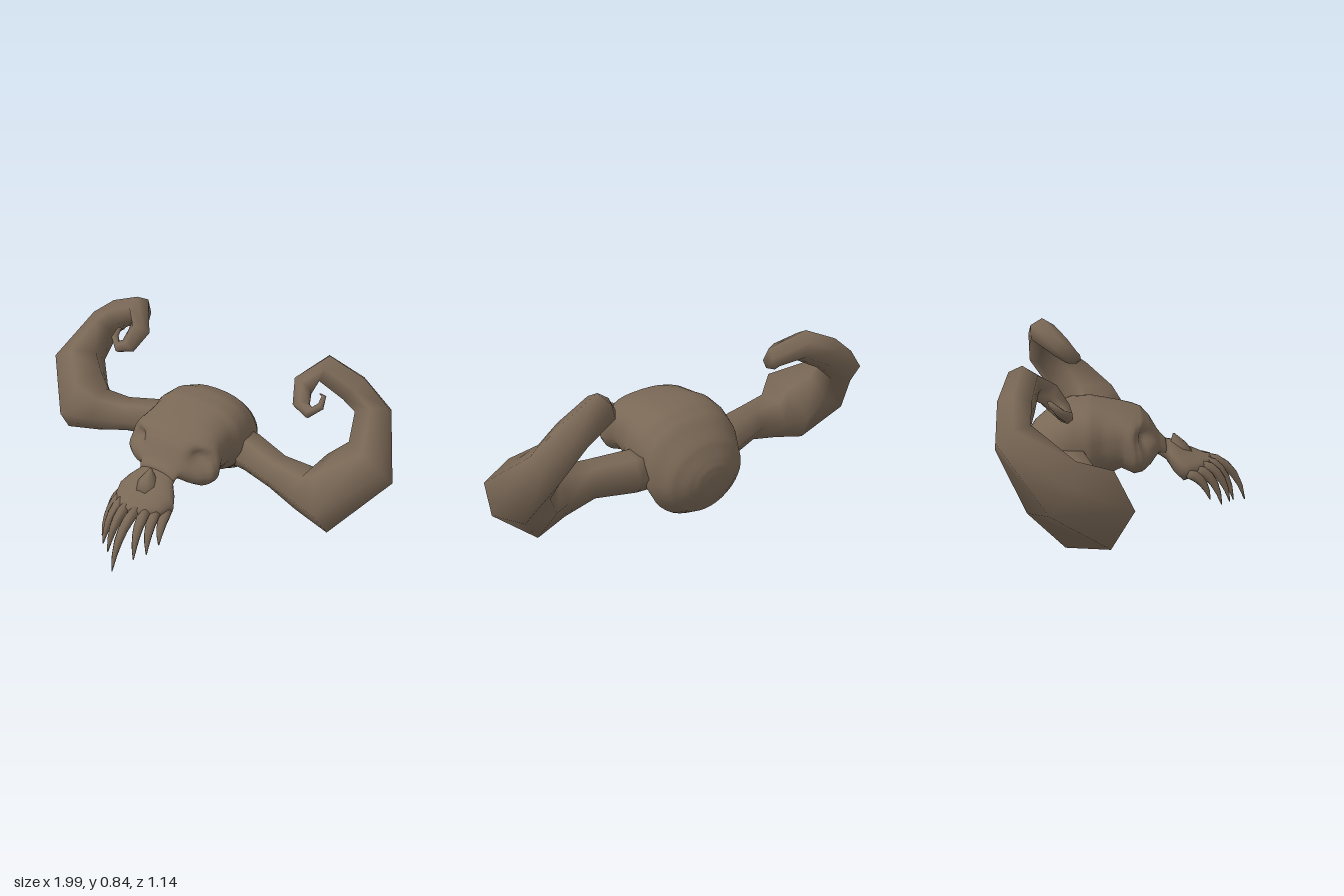
import * as THREE from 'three';

const bone = new THREE.MeshStandardMaterial({ color: 0x7a6856 });
bone.name = 'bone';
const V = (x, y, z) => new THREE.Vector3(x, y, z);

// Skin a list of rings (equal point counts, counterclockwise about the direction of travel), with closed ends
function loft(name, rings) {
  const n = rings[0].length, pos = [], idx = [];
  rings.forEach(r => r.forEach(p => pos.push(p.x, p.y, p.z)));
  for (let i = 0; i < rings.length - 1; i++) {
    for (let j = 0; j < n; j++) {
      const a = i * n + j, b = i * n + (j + 1) % n;
      idx.push(a, b, a + n, b, b + n, a + n);
    }
  }
  [0, rings.length - 1].forEach(i => {
    const c = rings[i].reduce((s, p) => s.add(p), V(0, 0, 0)).divideScalar(n);
    const k = pos.length / 3;
    pos.push(c.x, c.y, c.z);
    for (let j = 0; j < n; j++) {
      const a = i * n + j, b = i * n + (j + 1) % n;
      if (i === 0) idx.push(k, b, a); else idx.push(k, a, b);
    }
  });
  const g = new THREE.BufferGeometry();
  g.setAttribute('position', new THREE.Float32BufferAttribute(pos, 3));
  g.setIndex(idx);
  g.computeVertexNormals();
  const m = new THREE.Mesh(g, bone);
  m.name = name;
  return m;
}

// Tapering limb along points, each ring facing mostly along the stretch that leads to it
function limb(name, pts, radii, sides) {
  let u = null;
  const rings = pts.map((p, i) => {
    const before = p.clone().sub(pts[Math.max(i - 1, 0)]).normalize();
    const after = pts[Math.min(i + 1, pts.length - 1)].clone().sub(p).normalize();
    const t = before.multiplyScalar(4).add(after).normalize();
    if (!u) u = Math.abs(t.y) > 0.9 ? V(1, 0, 0) : V(0, 1, 0);
    u = u.clone().addScaledVector(t, -u.dot(t)).normalize();
    const v = t.clone().cross(u);
    return Array.from({ length: sides }, (_, j) => {
      const a = (j + 0.5) / sides * Math.PI * 2;
      return p.clone().addScaledVector(u, Math.cos(a) * radii[i]).addScaledVector(v, Math.sin(a) * radii[i]);
    });
  });
  return loft(name, rings);
}

// Bone body from upright sections: [z, top, bottom, half width, upper exponent, lower exponent]
function body(name, sections, steps, sides, shape) {
  const rings = [];
  for (let i = 0; i < sections.length - 1; i++) {
    for (let s = 0; s < steps; s++) {
      rings.push(sections[i].map((q, k) => q + (sections[i + 1][k] - q) * s / steps));
    }
  }
  rings.push(sections[sections.length - 1]);
  const pow = (c, e) => Math.sign(c) * Math.abs(c) ** e;
  return loft(name, rings.map(([z, top, bottom, w, upper, lower]) => Array.from({ length: sides }, (_, j) => {
    const a = j / sides * Math.PI * 2, e = j <= sides / 2 ? upper : lower;
    const p = V(w * pow(Math.cos(a), e), (top + bottom) / 2 + (top - bottom) / 2 * pow(Math.sin(a), e), z);
    if (shape) shape(p);
    return p;
  })));
}

// Push in an eye socket on each side and arch the palate between the cheekbones
function carveFace(p) {
  if (p.y < 0.3) {
    const along = Math.max(0, 1 - Math.abs(p.z - 0.01) / 0.11);
    p.y += 0.06 * along * Math.exp(-((p.x / 0.12) ** 4));
  }
  const s = Math.sign(p.x);
  const d = ((Math.abs(p.x) - 0.195) / 0.07) ** 2 + ((p.y - 0.4) / 0.045) ** 2 + ((p.z - 0.05) / 0.05) ** 2;
  const k = 0.075 * Math.exp(-d);
  p.x -= s * k * 0.8;
  p.z -= k * 0.5;
}

export function createModel() {
  const model = new THREE.Group();
  model.name = 'hornedSkull';

  // Cranium and face
  model.add(body('cranium', [
    [-0.547, 0.3, 0.23, 0.04, 1, 1], [-0.54, 0.34, 0.19, 0.09, 1, 1], [-0.522, 0.375, 0.145, 0.14, 1, 1],
    [-0.48, 0.44, 0.08, 0.205, 0.95, 1.05],
    [-0.39, 0.515, 0.015, 0.255, 0.82, 1.1], [-0.31, 0.545, 0.07, 0.26, 0.76, 1.1], [-0.21, 0.55, 0.125, 0.26, 0.75, 1.05],
    [-0.15, 0.54, 0.17, 0.24, 0.75, 1], [-0.06, 0.52, 0.225, 0.238, 0.75, 0.8], [0.0, 0.503, 0.205, 0.262, 0.8, 0.75],
    [0.04, 0.49, 0.215, 0.255, 0.85, 0.75], [0.08, 0.45, 0.245, 0.21, 0.9, 0.75], [0.125, 0.375, 0.29, 0.115, 0.9, 0.9],
    [0.16, 0.34, 0.26, 0.095, 1, 1],
  ], 4, 36, carveFace));

  // Snout and upper jaw
  model.add(body('snout', [
    [0.1, 0.37, 0.29, 0.1, 1, 1], [0.16, 0.335, 0.25, 0.1, 0.9, 0.9], [0.2, 0.33, 0.185, 0.135, 1, 0.9],
    [0.245, 0.305, 0.145, 0.16, 1, 0.9], [0.31, 0.275, 0.17, 0.135, 0.9, 0.9], [0.36, 0.26, 0.19, 0.085, 0.9, 0.9],
    [0.385, 0.25, 0.21, 0.045, 1, 1],
  ], 2, 20));

  // Raised peak over the nose
  model.add(limb('nasalPeak', [V(0, 0.25, 0.235), V(0, 0.31, 0.22), V(0, 0.37, 0.2)], [0.075, 0.045, 0.004], 8));

  // Fangs: root xyz, tip xyz
  const fangs = [
    [0.025, 0.235, 0.36, 0.03, 0.005, 0.57], [-0.03, 0.235, 0.355, -0.048, 0.035, 0.5],
    [0.07, 0.23, 0.345, 0.09, 0.04, 0.48], [-0.075, 0.23, 0.335, -0.095, 0.045, 0.475],
    [0.105, 0.22, 0.31, 0.13, 0.055, 0.43], [-0.11, 0.22, 0.3, -0.135, 0.045, 0.43],
    [0.135, 0.21, 0.26, 0.16, 0.085, 0.37], [-0.135, 0.21, 0.26, -0.155, 0.08, 0.37],
  ];
  fangs.forEach(([rx, ry, rz, tx, ty, tz]) => {
    const curve = new THREE.QuadraticBezierCurve3(
      V(rx, ry, rz), V((rx + tx) / 2, ry - 0.02, rz + (tz - rz) * 0.75), V(tx, ty, tz));
    model.add(limb('fang', curve.getPoints(5), [0.025, 0.027, 0.024, 0.02, 0.013, 0.003], 7));
  });

  // Horns: x, y, z, radius, curling back and inward
  const horn = [
    [0.2, 0.285, -0.295, 0.1], [0.28, 0.285, -0.285, 0.1], [0.46, 0.277, -0.225, 0.09], [0.62, 0.258, -0.205, 0.115],
    [0.74, 0.283, -0.2, 0.187], [0.878, 0.435, -0.345, 0.14], [0.8, 0.615, -0.495, 0.09],
    [0.69, 0.705, -0.49, 0.08], [0.54, 0.775, -0.47, 0.074], [0.483, 0.705, -0.375, 0.057],
    [0.51, 0.64, -0.315, 0.042], [0.565, 0.625, -0.295, 0.03], [0.605, 0.66, -0.325, 0.02],
    [0.6, 0.695, -0.36, 0.012], [0.575, 0.695, -0.37, 0.003],
  ];
  [['leftHorn', 1], ['rightHorn', -1]].forEach(([name, s]) => {
    model.add(limb(name, horn.map(([x, y, z]) => V(s * x, y, z)), horn.map(h => h[3]), 6));
  });

  return model;
}
